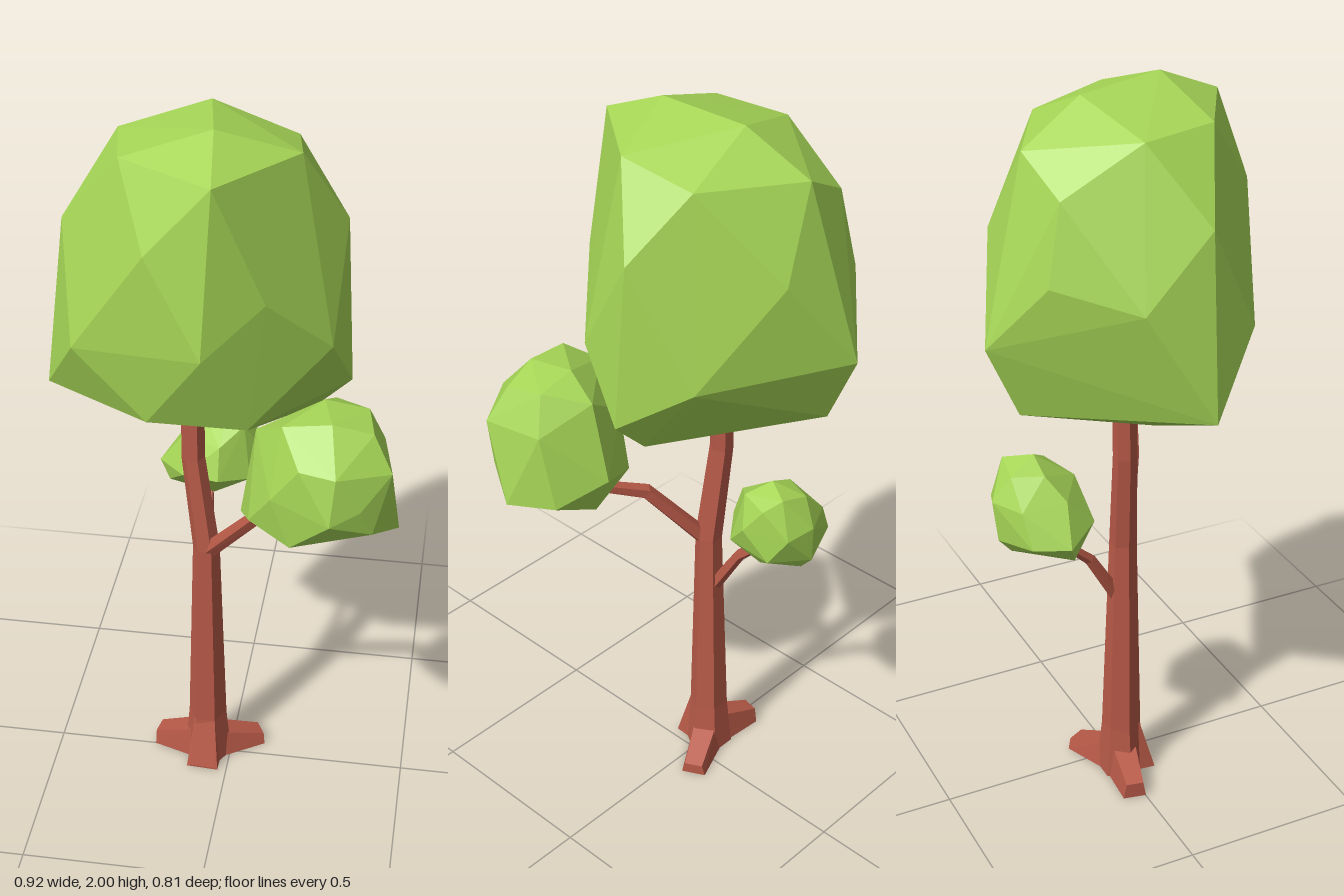
import * as THREE from 'three';
import { ConvexGeometry } from 'three/addons/geometries/ConvexGeometry.js';

const leafMaterial = new THREE.MeshStandardMaterial({ color: 0xa6d656, flatShading: true });
const barkMaterial = new THREE.MeshStandardMaterial({ color: 0xb85a48, flatShading: true });

const vec = (p) => new THREE.Vector3(p[0], p[1], p[2]);

// Faceted solid wrapped around a few corner points
function hull(name, corners, material) {
  const mesh = new THREE.Mesh(new ConvexGeometry(corners.map(vec)), material);
  mesh.name = name;
  return mesh;
}

// Tapered limb: stations are [x, y, z, radius], with rings square to the path and closed ends
function limb(name, stations, sides) {
  const centres = stations.map(vec);
  const positions = [];
  const index = [];
  centres.forEach((c, i) => {
    const next = centres[Math.min(i + 1, centres.length - 1)];
    const tangent = next.clone().sub(centres[Math.max(i - 1, 0)]).normalize();
    const u = new THREE.Vector3(0, 0, 1).cross(tangent).normalize();
    const v = tangent.clone().cross(u);
    for (let k = 0; k < sides; k++) {
      const a = (k / sides) * Math.PI * 2;
      const p = c.clone()
        .addScaledVector(u, Math.cos(a) * stations[i][3])
        .addScaledVector(v, Math.sin(a) * stations[i][3]);
      positions.push(p.x, p.y, p.z);
    }
  });
  for (let i = 0; i < stations.length - 1; i++) {
    for (let k = 0; k < sides; k++) {
      const a = i * sides + k;
      const b = i * sides + ((k + 1) % sides);
      index.push(a, b, b + sides, a, b + sides, a + sides);
    }
  }
  const last = (stations.length - 1) * sides;
  for (let k = 1; k < sides - 1; k++) {
    index.push(0, k + 1, k, last, last + k, last + k + 1);
  }
  const indexed = new THREE.BufferGeometry();
  indexed.setAttribute('position', new THREE.Float32BufferAttribute(positions, 3));
  indexed.setIndex(index);
  const geometry = indexed.toNonIndexed();
  geometry.computeVertexNormals();
  const mesh = new THREE.Mesh(geometry, barkMaterial);
  mesh.name = name;
  return mesh;
}

// Wedge-shaped root running from the trunk axis out to a blunt tip
function root(name, tip, innerHeight, tipHeight, innerHalf, tipHalf) {
  const start = new THREE.Vector2(-0.065, 0);
  const end = new THREE.Vector2(tip[0], tip[1]);
  const dir = end.clone().sub(start).normalize();
  const shoulder = start.clone().addScaledVector(dir, 0.045);
  const corners = [];
  for (const s of [-1, 1]) {
    const place = (p, y, half) => corners.push([p.x - dir.y * s * half, y, p.y + dir.x * s * half]);
    for (const p of [start, shoulder]) {
      place(p, 0, innerHalf);
      place(p, innerHeight, innerHalf * 0.7);
    }
    place(end, 0, tipHalf);
    place(end, tipHeight, tipHalf * 0.75);
  }
  return hull(name, corners, barkMaterial);
}

export function createModel() {
  const tree = new THREE.Group();
  tree.name = 'tree';

  // Trunk with a slight bend above the fork
  tree.add(limb('trunk', [
    [-0.065, 0, 0, 0.068],
    [-0.065, 0.15, 0, 0.054],
    [-0.065, 0.74, 0.004, 0.037],
    [-0.1, 1.02, -0.008, 0.032],
    [-0.1, 1.23, -0.012, 0.03],
  ], 6));

  // Roots
  tree.add(root('rightRoot', [-0.215, -0.03], 0.085, 0.045, 0.045, 0.032));
  tree.add(root('leftRoot', [0.08, -0.075], 0.075, 0.032, 0.045, 0.034));
  tree.add(root('frontRoot', [-0.07, 0.085], 0.15, 0.005, 0.042, 0.045));

  // Branches
  tree.add(limb('leftBranch', [
    [-0.06, 0.73, 0.01, 0.024],
    [0.08, 0.915, 0.1, 0.021],
    [0.26, 0.99, 0.19, 0.014],
  ], 5));
  tree.add(limb('backBranch', [
    [-0.065, 0.57, -0.01, 0.02],
    [-0.075, 0.72, -0.1, 0.016],
    [-0.09, 0.825, -0.215, 0.011],
  ], 5));

  // Large crown, from the top down
  tree.add(hull('mainCrown', [
    [-0.02, 2, 0.12], [-0.06, 1.98, -0.11], [-0.24, 1.93, 0.15], [-0.28, 1.92, -0.05],
    [0, 1.93, 0.29], [0.18, 1.93, 0.06], [0.15, 1.89, -0.14], [-0.1, 1.88, -0.28],
    [-0.25, 1.8, -0.25], [-0.16, 1.75, 0.29], [-0.4, 1.73, 0.07], [0.285, 1.72, -0.05],
    [0.12, 1.62, 0.24], [0.02, 1.66, -0.32], [-0.27, 1.6, -0.29], [-0.41, 1.55, -0.11],
    [-0.02, 1.51, 0.34], [-0.36, 1.45, 0.21], [0.27, 1.45, 0.11], [0.21, 1.4, -0.2],
    [-0.15, 1.42, -0.405], [-0.17, 1.28, 0.25], [0.08, 1.28, 0.25], [0.31, 1.28, -0.03],
    [-0.46, 1.26, 0.06], [-0.15, 1.23, -0.32], [-0.26, 1.18, 0], [0.22, 1.19, -0.04],
    [0.08, 1.18, 0.06], [-0.1, 1.175, -0.06],
  ], leafMaterial));

  // Medium crown on the left branch
  tree.add(hull('leftCrown', [
    [0.26, 1.34, 0.175], [0.29, 1.34, 0.29], [0.37, 1.32, 0.17], [0.39, 1.31, 0.27],
    [0.17, 1.33, 0.3], [0.28, 1.29, 0.08], [0.1, 1.28, 0.24], [0.22, 1.25, 0.37],
    [0.31, 1.24, 0.38], [0.44, 1.22, 0.3], [0.41, 1.22, 0.14], [0.15, 1.2, 0.12],
    [0.15, 1.15, 0.35], [0.37, 1.14, 0.36], [0.3, 1.12, 0.405], [0.28, 1.08, 0.03],
    [0.4, 1.06, 0.33], [0.09, 1.05, 0.3], [0.06, 1.02, 0.22], [0.46, 1.01, 0.22],
    [0.2, 1.02, 0.36], [0.4, 1.02, 0.1], [0.12, 1, 0.12], [0.17, 0.98, 0.23],
    [0.33, 0.97, 0.22], [0.28, 0.97, 0.08],
  ], leafMaterial));

  // Small crown on the back branch
  tree.add(hull('backCrown', [
    [-0.04, 1.05, -0.24], [0, 1.04, -0.31], [-0.08, 1.02, -0.32], [-0.11, 1.02, -0.24],
    [0.01, 1.01, -0.19], [0.03, 1, -0.27], [-0.05, 0.97, -0.13], [-0.16, 0.96, -0.2],
    [-0.06, 0.95, -0.365], [-0.15, 0.95, -0.32], [0.01, 0.93, -0.34], [0.05, 0.93, -0.22],
    [-0.05, 0.88, -0.1], [-0.15, 0.88, -0.12], [-0.23, 0.86, -0.22], [-0.19, 0.86, -0.31],
    [0.03, 0.85, -0.29], [0.03, 0.86, -0.16], [-0.07, 0.84, -0.355], [-0.07, 0.8, -0.32],
    [-0.07, 0.8, -0.17], [-0.2, 0.81, -0.2], [0, 0.81, -0.24],
  ], leafMaterial));

  return tree;
}
